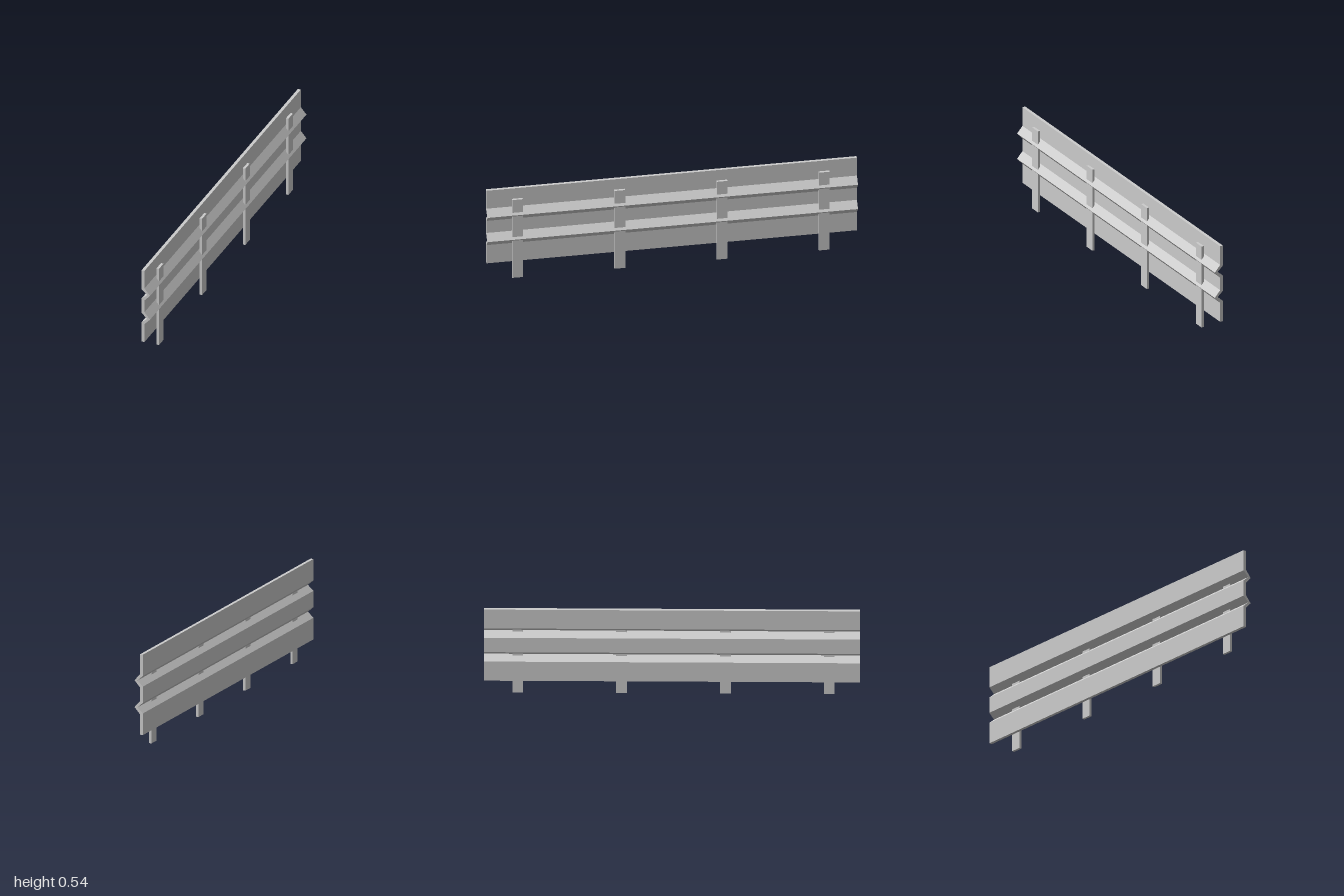
import * as THREE from 'three';

export function createModel() {
  const group = new THREE.Group();
  group.name = 'guardRail';
  const material = new THREE.MeshStandardMaterial({ color: 0xcccccc, flatShading: true });

  // Rail cross-section: a flat strip with two V-shaped ridges towards +x
  const back = -0.026, front = -0.009, tipBack = 0.007, tipFront = 0.024;
  const bottom = 0.09, top = 0.536, ridges = [0.239, 0.388];
  const outline = [[back, bottom]];
  for (const y of ridges) outline.push([back, y - 0.029], [tipBack, y], [back, y + 0.03]);
  outline.push([back, top], [front, top]);
  for (const y of [...ridges].reverse()) outline.push([front, y + 0.038], [tipFront, y], [front, y - 0.037]);
  outline.push([front, bottom]);

  const shape = new THREE.Shape(outline.map(([x, y]) => new THREE.Vector2(x, y)));
  const railGeometry = new THREE.ExtrudeGeometry(shape, { depth: 2, bevelEnabled: false });
  railGeometry.translate(0, 0, -1);
  const rail = new THREE.Mesh(railGeometry, material);
  rail.name = 'corrugatedRail';
  group.add(rail);

  // Four evenly spaced posts passing through the ridges
  const postHeight = 0.478;
  const postGeometry = new THREE.BoxGeometry(0.014, postHeight, 0.058);
  for (let i = 0; i < 4; i++) {
    const post = new THREE.Mesh(postGeometry, material);
    post.name = `post${i + 1}`;
    post.position.set(0.007, postHeight / 2, 0.836 - i * 0.552);
    group.add(post);
  }
  return group;
}
